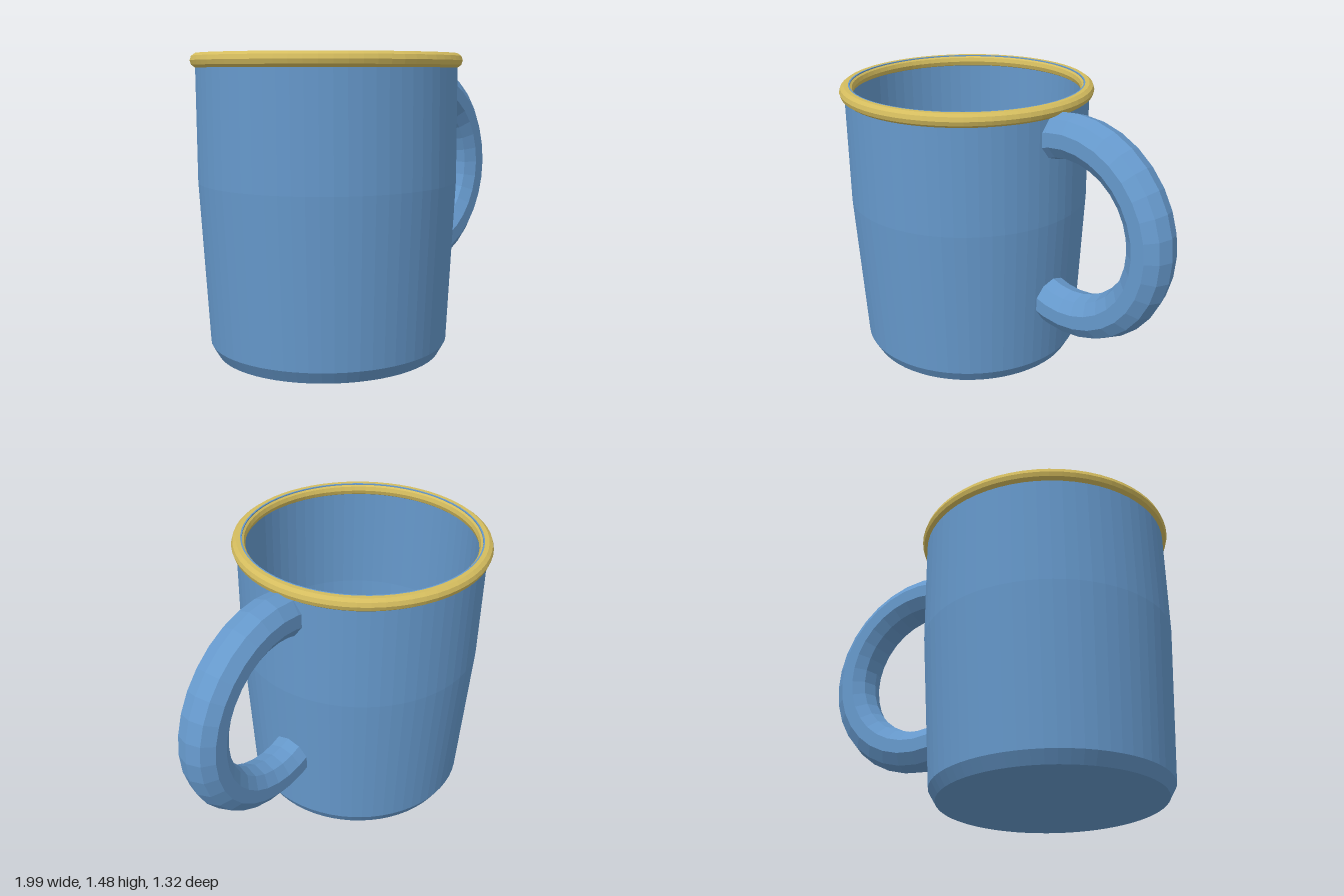
import * as THREE from 'three';

const CUP_X = -0.335;

export function createModel() {
  const blue = new THREE.MeshStandardMaterial({ color: 0x6699cc, flatShading: true });
  blue.name = 'blue enamel';
  const gold = new THREE.MeshStandardMaterial({ color: 0xd4bc5e, flatShading: true });
  gold.name = 'gold trim';

  const mug = new THREE.Group();
  mug.name = 'mug';
  const add = (name, geometry, material, x, y) => {
    const mesh = new THREE.Mesh(geometry, material);
    mesh.name = name;
    mesh.position.set(x, y, 0);
    mug.add(mesh);
    return mesh;
  };

  // Hollow cup: base, outer wall, lip, inner wall, floor
  const profile = [
    [0, 0], [0.56, 0], [0.594, 0.06], [0.637, 0.86], [0.637, 1.42],
    [0.62, 1.479], [0.607, 1.479], [0.602, 1.42], [0.602, 0.86], [0.56, 0.08], [0, 0.08],
  ].map(([r, y]) => new THREE.Vector2(r, y));
  add('cup', new THREE.LatheGeometry(profile, 64), blue, CUP_X, 0);

  // Rolled rim
  const rim = new THREE.TorusGeometry(0.626, 0.036, 10, 64).rotateX(Math.PI / 2);
  add('rim', rim, gold, CUP_X, 1.445);

  // Ring handle, passing through the cup wall
  add('handle', new THREE.TorusGeometry(0.467, 0.116, 10, 32), blue, 0.412, 0.862);

  return mug;
}
